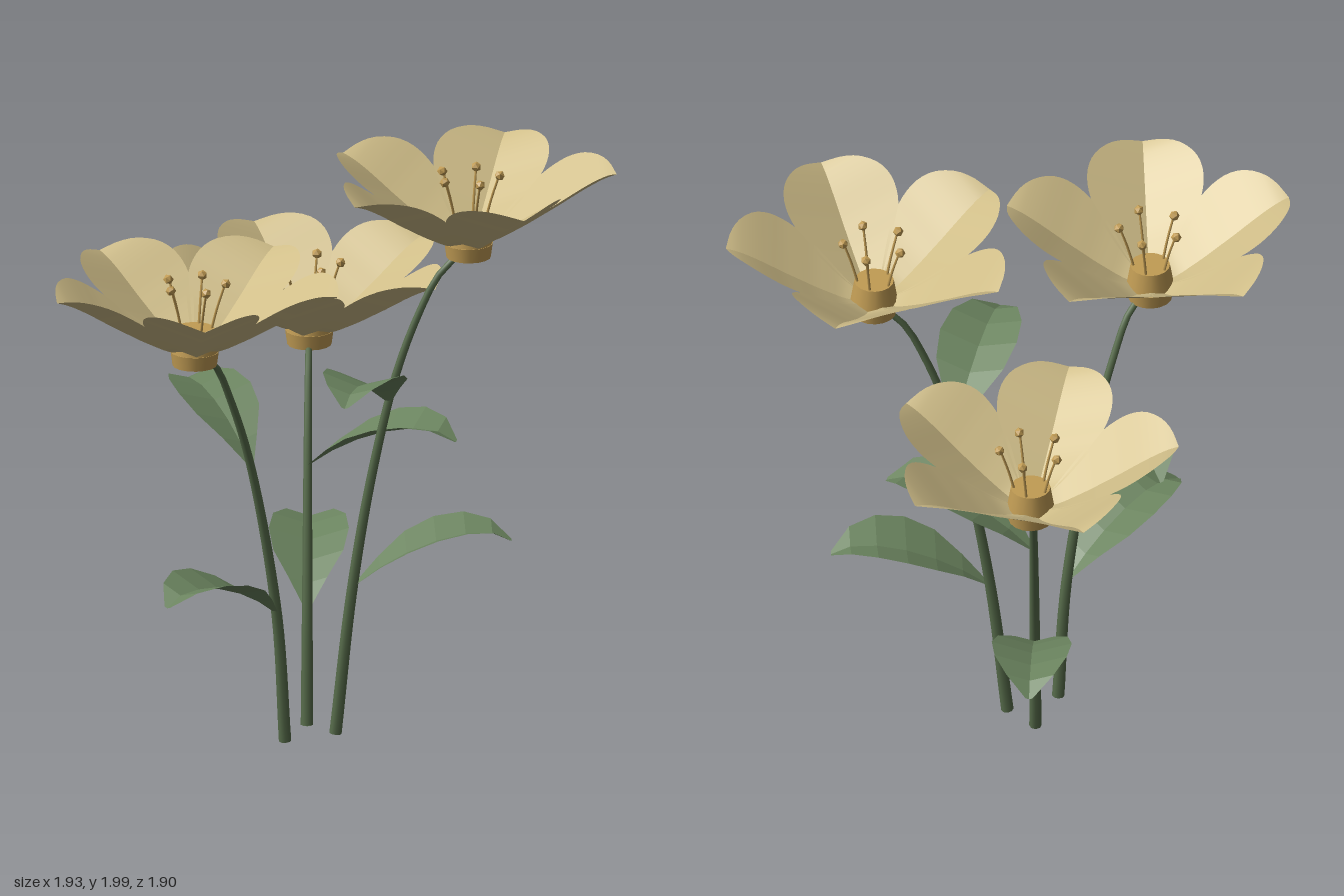
import * as THREE from 'three';

const mat = (name, color) => {
  const m = new THREE.MeshStandardMaterial({ color, side: THREE.DoubleSide });
  m.name = name;
  return m;
};
const rad = THREE.MathUtils.degToRad;

function add(parent, name, geometry, material, x = 0, y = 0, z = 0) {
  const mesh = new THREE.Mesh(geometry, material);
  mesh.name = name;
  mesh.position.set(x, y, z);
  parent.add(mesh);
  return mesh;
}

// Folded blade along +x: stations are [distance, height, half width], edges rise by fold
function blade(stations, fold, steps, flat) {
  let pts = stations.map(p => new THREE.Vector3(...p));
  if (steps) pts = new THREE.CatmullRomCurve3(pts).getPoints(steps);
  const pos = [], index = [];
  for (const s of [1, -1]) {
    const start = pos.length / 3;
    pts.forEach((p, i) => {
      const w = Math.max(p.z, 0);
      pos.push(p.x, p.y, 0, p.x, p.y + fold * w, s * w);
      if (i === pts.length - 1) return;
      const a = start + i * 2, b = a + 1, c = a + 2, d = a + 3;
      if (s > 0) index.push(a, b, c, b, d, c);
      else index.push(a, c, b, b, c, d);
    });
  }
  let g = new THREE.BufferGeometry();
  g.setAttribute('position', new THREE.Float32BufferAttribute(pos, 3));
  g.setIndex(index);
  if (flat) g = g.toNonIndexed();
  g.computeVertexNormals();
  return g;
}

// Tube that narrows from r0 to r1
function taperedTube(points, r0, r1, segments, sides) {
  const curve = new THREE.CatmullRomCurve3(points.map(p => new THREE.Vector3(...p)));
  const g = new THREE.TubeGeometry(curve, segments, r0, sides);
  const p = g.attributes.position, v = new THREE.Vector3();
  for (let i = 0; i < p.count; i++) {
    const t = Math.floor(i / (sides + 1)) / segments;
    const c = curve.getPointAt(t);
    v.fromBufferAttribute(p, i).sub(c).multiplyScalar(1 + (r1 / r0 - 1) * t).add(c);
    p.setXYZ(i, v.x, v.y, v.z);
  }
  return g;
}

export function createModel() {
  const model = new THREE.Group();
  model.name = 'flowers';
  const petalMat = mat('petal cream', 0xcfbd88);
  const goldMat = mat('centre gold', 0xc19c54);
  const stemMat = mat('stem green', 0x566b4a);
  const leafMat = mat('leaf green', 0x6a835e);

  const petalGeo = blade([
    [0.05, 0.045, 0.035], [0.1, 0.06, 0.08], [0.15, 0.085, 0.122], [0.2, 0.112, 0.158],
    [0.25, 0.142, 0.184], [0.3, 0.172, 0.196], [0.35, 0.204, 0.192], [0.4, 0.235, 0.168],
    [0.45, 0.262, 0.118], [0.48, 0.274, 0.066], [0.5, 0.28, 0],
  ], 0.42, 24, false);
  const leafGeo = blade([
    [0, 0, 0.008], [0.09, 0.065, 0.065], [0.18, 0.115, 0.118], [0.28, 0.155, 0.135],
    [0.38, 0.178, 0.122], [0.47, 0.178, 0.08], [0.535, 0.148, 0.012],
  ], 0.32, 0, true);
  const baseGeo = new THREE.CylinderGeometry(0.082, 0.075, 0.05, 16);
  const discGeo = new THREE.CylinderGeometry(0.067, 0.08, 0.08, 16);
  const filamentGeo = taperedTube([[0.05, 0.1, 0], [0.075, 0.2, 0], [0.104, 0.29, 0]], 0.005, 0.004, 6, 5);
  const antherGeo = new THREE.IcosahedronGeometry(0.018, 0);

  const plants = [
    { // tall, leaning to its left
      head: [0.46, 1.68, 0.07], turn: 0,
      stem: [[0.01, 0, 0.075], [0.065, 0.5, 0.075], [0.13, 0.9, 0.075], [0.215, 1.27, 0.075],
        [0.29, 1.48, 0.075], [0.36, 1.62, 0.075], [0.45, 1.71, 0.07]],
      leaves: [[0.07, 0.52, 0.075, 0], [0.19, 1.17, 0.075, 110]],
    },
    { // middle height, leaning forward
      head: [-0.49, 1.44, 0.44], turn: 18,
      stem: [[-0.165, 0, 0.145], [-0.195, 0.46, 0.17], [-0.285, 1.0, 0.25], [-0.36, 1.27, 0.325],
        [-0.42, 1.42, 0.385], [-0.48, 1.47, 0.435]],
      leaves: [[-0.195, 0.46, 0.17, 137.5], [-0.285, 1.01, 0.25, 247.5]],
    },
    { // short, leaning back
      head: [-0.04, 1.2, -0.48], turn: 36,
      stem: [[-0.08, 0, -0.02], [-0.075, 0.39, -0.075], [-0.065, 0.86, -0.2], [-0.058, 1.05, -0.285],
        [-0.05, 1.18, -0.375], [-0.042, 1.23, -0.47]],
      leaves: [[-0.075, 0.39, -0.075, 275], [-0.065, 0.86, -0.2, 25]],
    },
  ];

  for (const { head, turn, stem, leaves } of plants) {
    const plant = new THREE.Group();
    plant.name = 'plant';
    model.add(plant);

    // Stem with a closed foot
    add(plant, 'stem', taperedTube(stem, 0.021, 0.011, 28, 8), stemMat);
    const foot = add(plant, 'stemFoot', new THREE.CircleGeometry(0.02, 8), stemMat, stem[0][0], 0.001, stem[0][2]);
    foot.rotation.x = Math.PI / 2;

    // Leaves
    for (const [x, y, z, angle] of leaves) {
      add(plant, 'leaf', leafGeo, leafMat, x, y, z).rotation.y = -rad(angle);
    }

    // Flower head
    const flower = new THREE.Group();
    flower.name = 'flowerHead';
    flower.position.set(...head);
    plant.add(flower);
    add(flower, 'flowerBase', baseGeo, goldMat, 0, 0.025, 0);
    add(flower, 'flowerCentre', discGeo, goldMat, 0, 0.09, 0);
    for (let i = 0; i < 5; i++) {
      add(flower, 'petal', petalGeo, petalMat).rotation.y = -rad(turn + i * 72);
      const stamen = new THREE.Group();
      stamen.name = 'stamen';
      stamen.rotation.y = -rad(i * 72);
      add(stamen, 'filament', filamentGeo, goldMat);
      add(stamen, 'anther', antherGeo, goldMat, 0.105, 0.285, 0);
      flower.add(stamen);
    }
  }
  return model;
}
